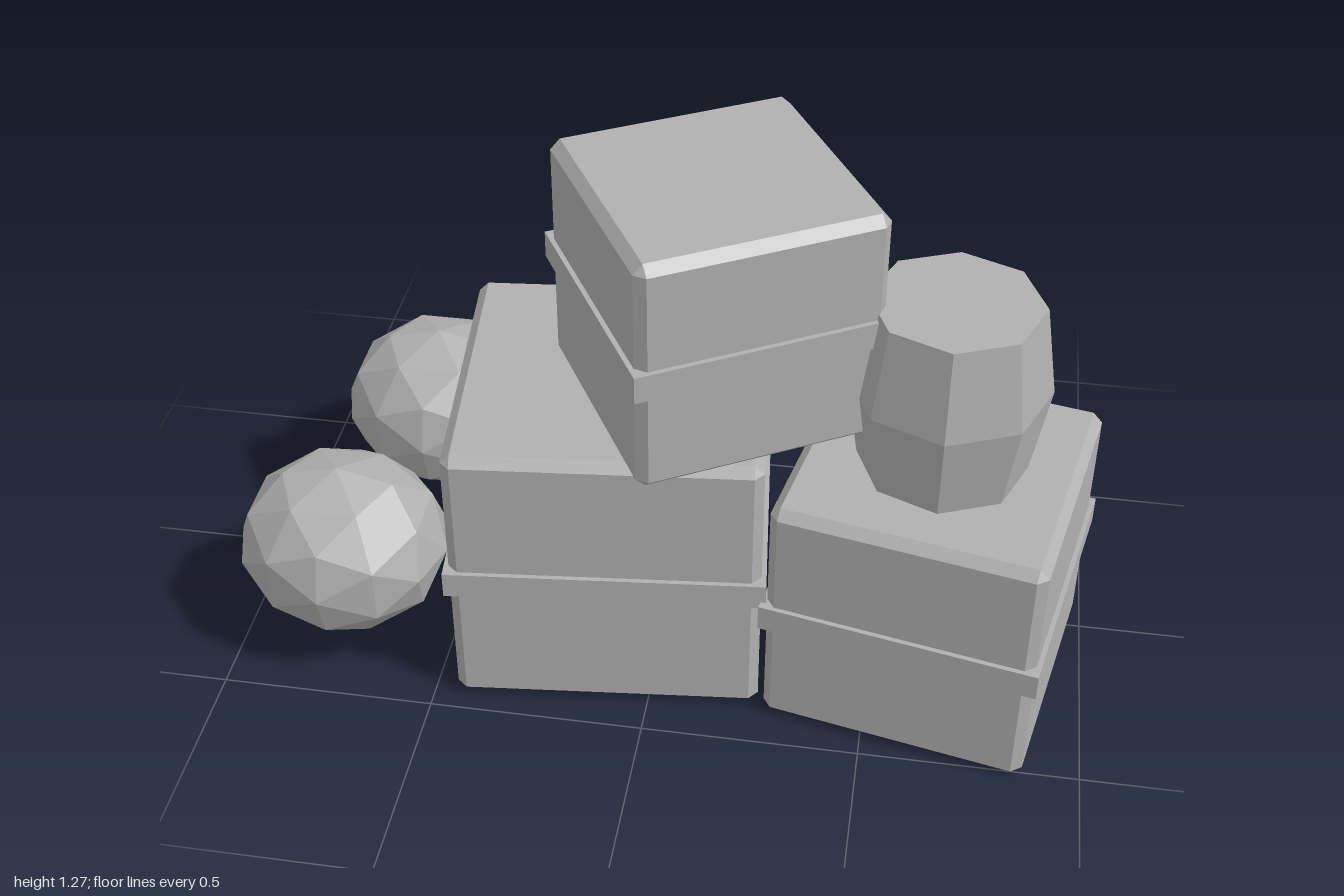
import * as THREE from 'three';
import { ConvexGeometry } from 'three/addons/geometries/ConvexGeometry.js';

const stone = new THREE.MeshStandardMaterial({ color: 0xb0b0b0 });
stone.name = 'plain grey';

// One normal per face for the low-poly look
function faceted(geometry) {
  const flat = geometry.index ? geometry.toNonIndexed() : geometry;
  flat.computeVertexNormals();
  return flat;
}

function addMesh(parent, name, geometry, x = 0, y = 0, z = 0) {
  const mesh = new THREE.Mesh(geometry, stone);
  mesh.name = name;
  mesh.position.set(x, y, z);
  parent.add(mesh);
  return mesh;
}

// Cube with every edge and corner cut at 45 degrees
function chamferedCube(size, cut) {
  const h = size / 2, i = h - cut, points = [];
  for (const sx of [-1, 1]) for (const sy of [-1, 1]) for (const sz of [-1, 1]) {
    points.push(
      new THREE.Vector3(sx * h, sy * i, sz * i),
      new THREE.Vector3(sx * i, sy * h, sz * i),
      new THREE.Vector3(sx * i, sy * i, sz * h)
    );
  }
  return faceted(new ConvexGeometry(points));
}

// Crate standing on height y, with a band around its middle
function addCrate(parent, name, size, x, y, z, turn) {
  const crate = new THREE.Group();
  crate.name = name;
  crate.position.set(x, y + size / 2, z);
  crate.rotation.y = turn;
  addMesh(crate, 'crateBody', chamferedCube(size, 0.022));
  const band = size + 0.022;
  addMesh(crate, 'crateBand', new THREE.BoxGeometry(band, 0.064, band));
  parent.add(crate);
}

export function createModel() {
  const model = new THREE.Group();
  model.name = 'cargoPile';

  // Three crates, one stacked on top
  addCrate(model, 'largeCrate', 0.705, -0.13, 0, 0.07, 0.1);
  addCrate(model, 'mediumCrate', 0.612, 0.626, 0, 0.164, -0.2);
  addCrate(model, 'topCrate', 0.56, 0.106, 0.709, 0.118, 0.52);

  // Eight-sided barrel on the medium crate
  const profile = [[0, 0], [0.19, 0], [0.224, 0.2125], [0.19, 0.425], [0, 0.425]]
    .map(([r, y]) => new THREE.Vector2(r, y));
  addMesh(model, 'barrel', faceted(new THREE.LatheGeometry(profile, 8)), 0.626, 0.612, 0.163);

  // Two squashed sacks beside the pile
  const sack = faceted(new THREE.IcosahedronGeometry(0.25, 1).scale(1, 0.86, 0.92));
  addMesh(model, 'backSack', sack, -0.65, 0.275, -0.305);
  addMesh(model, 'frontSack', sack, -0.75, 0.275, 0.264);

  return model;
}
